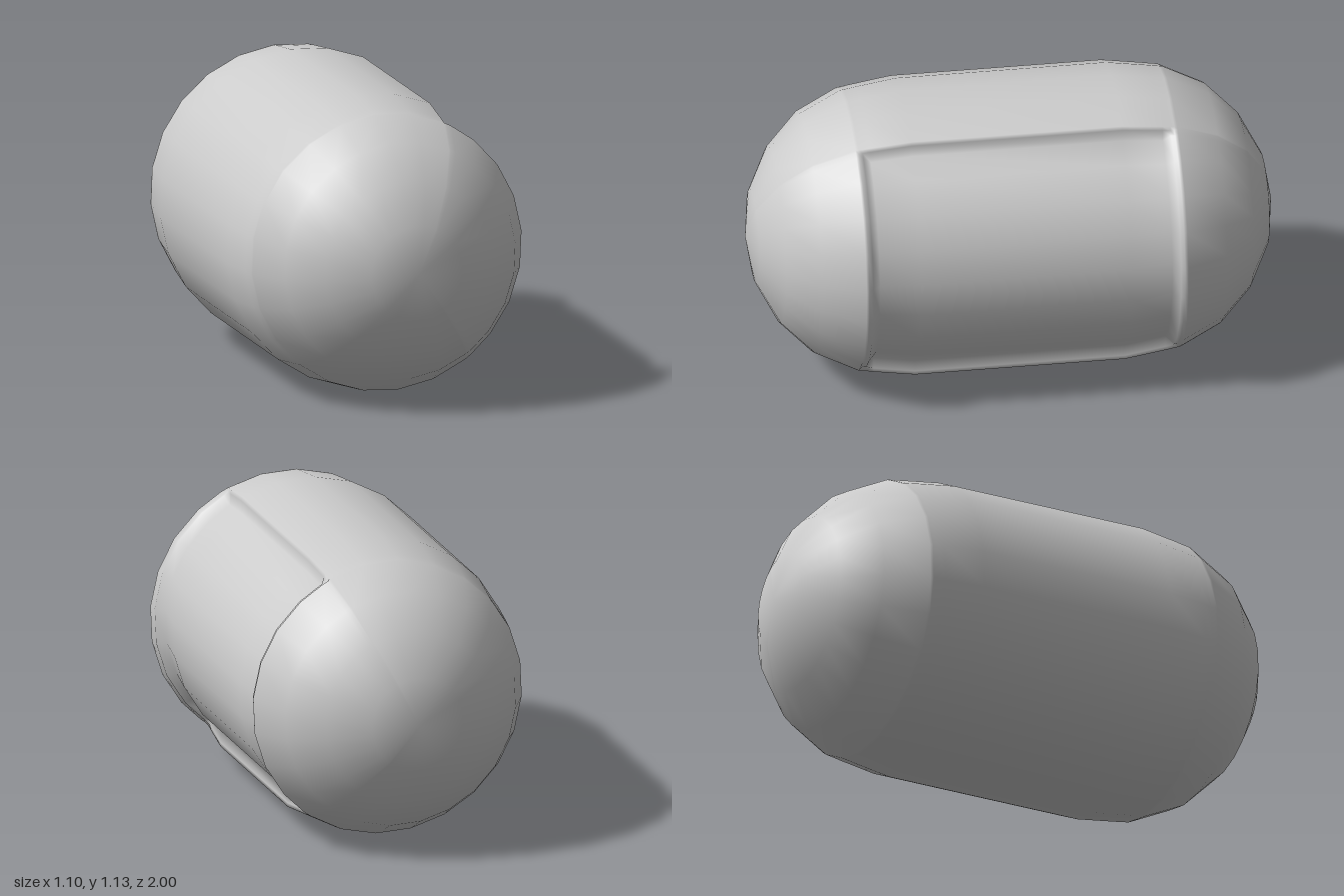
import * as THREE from 'three';

const CX = 0.015, CY = 0.564;   // axis of the capsule
const MID = 5, HALF = 60;       // window direction and half-width in degrees
const DEPTH = 0.05;             // depth of the recessed window

// Half profile: [z, radius] from the middle to the tip
const PROFILE = [[0.4, 0.566], [0.555, 0.544], [0.585, 0.539], [0.6, 0.537], [0.612, 0.535],
  [0.77, 0.458], [0.89, 0.336], [0.97, 0.18], [1, 0]];

// 0 outside the window, 1 on its floor, with a small rounded lip between
function step(inside, lip, wall) {
  if (inside <= 1e-6) return 0;
  if (inside < wall - 1e-6) return 0.25 * Math.min(1, inside / lip);
  return 1;
}

// Closed capsule skin whose rings drop inward across the window
function capsuleGeometry() {
  const rows = [...PROFILE.map(([z, r]) => [-z, r]).reverse(), ...PROFILE];
  const angles = [];
  for (let i = 0; i < 24; i++) angles.push(-180 + i * 15);
  for (const s of [-1, 1]) for (const d of [1, 3.5]) angles.push(s * (HALF - d));
  angles.sort((a, b) => a - b);

  const n = angles.length, last = rows.length - 1;
  const positions = [], index = [];
  for (const [z, r] of rows) {
    for (const a of angles) {
      const across = step(HALF - Math.abs(a), 1, 3.5);
      const along = step(0.612 - Math.abs(z), 0.012, 0.057);
      const radius = r - DEPTH * Math.min(across, along);
      const t = THREE.MathUtils.degToRad(a + MID);
      positions.push(CX + radius * Math.cos(t), CY + radius * Math.sin(t), z);
    }
  }
  // Each tip uses one shared vertex
  const id = (row, i) => row * n + (row === 0 || row === last ? 0 : i % n);
  for (let row = 0; row < last; row++) {
    for (let i = 0; i < n; i++) {
      const a = id(row, i), b = id(row, i + 1), c = id(row + 1, i + 1), d = id(row + 1, i);
      if (a !== b) index.push(a, b, c);
      if (c !== d) index.push(a, c, d);
    }
  }
  const geometry = new THREE.BufferGeometry();
  geometry.setAttribute('position', new THREE.Float32BufferAttribute(positions, 3));
  geometry.setIndex(index);
  geometry.computeVertexNormals();
  return geometry;
}

export function createModel() {
  const group = new THREE.Group();
  group.name = 'capsule';
  const shell = new THREE.Mesh(capsuleGeometry(), new THREE.MeshStandardMaterial({ color: 0xcccccc }));
  shell.name = 'shellWithRecessedWindow';
  group.add(shell);
  return group;
}
